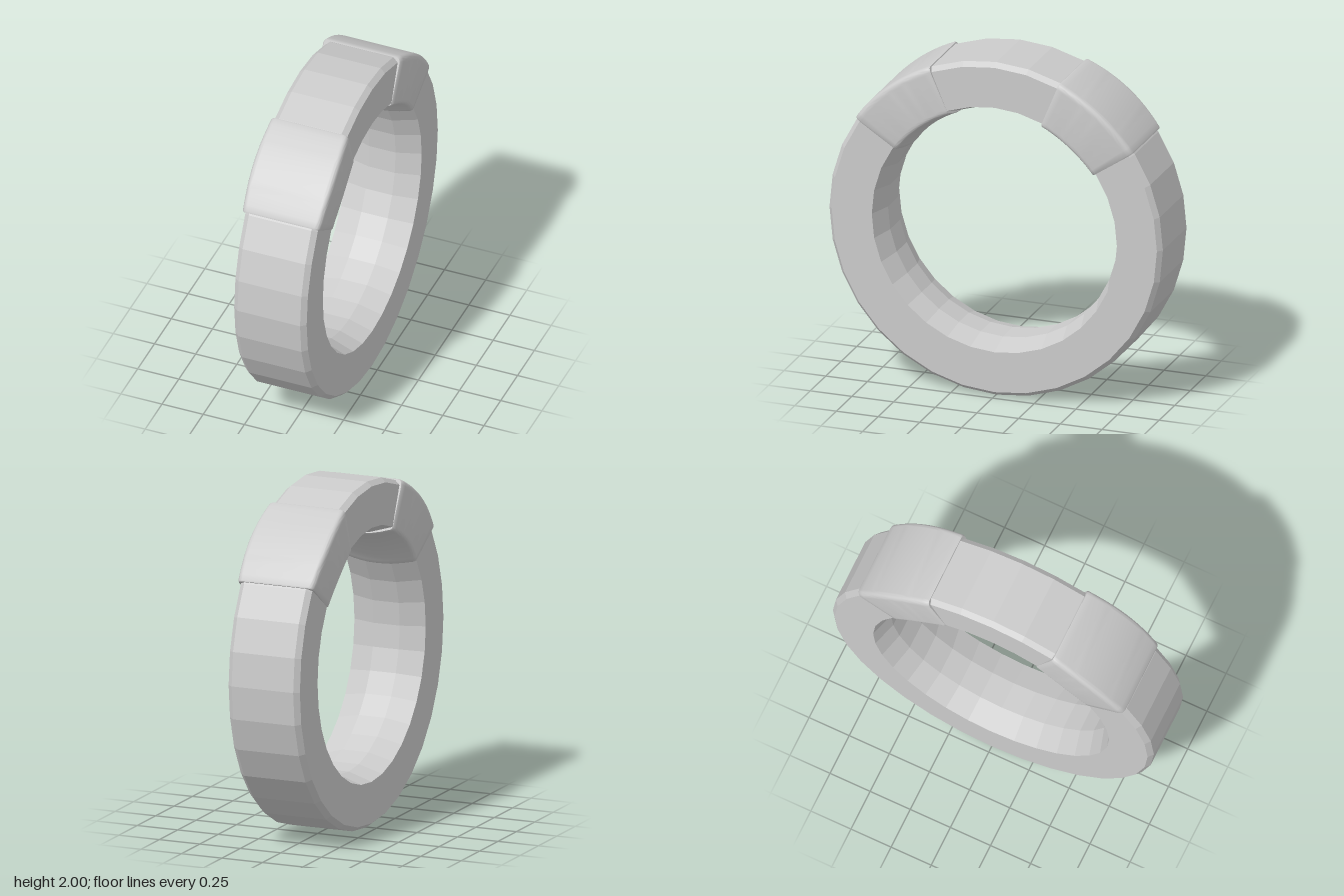
import * as THREE from 'three';
import { toCreasedNormals } from 'three/addons/utils/BufferGeometryUtils.js';

const rad = THREE.MathUtils.degToRad;

// Faceted band with chamfered rims and a gently bowed inside
function bandGeometry() {
  const profile = [
    [-0.22, 0.735], [-0.22, 0.975], [-0.19, 1], [0.19, 1], [0.22, 0.975],
    [0.22, 0.735], [0.08, 0.69], [-0.08, 0.69], [-0.22, 0.735],
  ].map(([x, r]) => new THREE.Vector2(r, x));
  return new THREE.LatheGeometry(profile, 32).rotateZ(Math.PI / 2);
}

// Rounded cross-section of a sleeve, x across and y as radius
function sleeveSection() {
  const s = new THREE.Shape();
  s.moveTo(-0.205, 0.712);
  s.quadraticCurveTo(0, 0.64, 0.205, 0.712);
  s.quadraticCurveTo(0.226, 0.715, 0.226, 0.745);
  s.lineTo(0.236, 0.97);
  s.quadraticCurveTo(0.236, 1.009, 0.205, 1.009);
  s.lineTo(-0.205, 1.009);
  s.quadraticCurveTo(-0.236, 1.009, -0.236, 0.97);
  s.lineTo(-0.226, 0.745);
  s.quadraticCurveTo(-0.226, 0.715, -0.205, 0.712);
  return s.getPoints(8);
}

// Section swept round the band, swelling mid-way, with soft lips and closed ends
function sleeveGeometry() {
  const section = sleeveSection();
  const n = section.length;
  const start = rad(22.8), end = rad(55.6), lip = rad(0.5), steps = 16, mid = 0.85;
  const stations = [[start, 0], [start, 0.98]];
  for (let i = 0; i <= steps; i++) {
    stations.push([start + lip + (end - start - 2 * lip) * i / steps, 1]);
  }
  stations.push([end, 0.98], [end, 0]);

  const positions = [], index = [];
  stations.forEach(([a, scale], j) => {
    const swell = 1 + 0.05 * Math.sin(Math.PI * (a - start) / (end - start));
    section.forEach((p, i) => {
      const r = mid + (p.y - mid) * scale;
      positions.push(p.x * scale * swell, r * Math.cos(a), r * Math.sin(a));
      if (i < n - 1 && j < stations.length - 1) {
        const k = j * n + i;
        if (scale > 0) index.push(k, k + 1, k + n + 1);
        if (stations[j + 1][1] > 0) index.push(k, k + n + 1, k + n);
      }
    });
  });
  const g = new THREE.BufferGeometry();
  g.setAttribute('position', new THREE.Float32BufferAttribute(positions, 3));
  g.setIndex(index);
  return toCreasedNormals(g, rad(40));
}

export function createModel() {
  const model = new THREE.Group();
  model.name = 'ring';

  const band = new THREE.Mesh(
    bandGeometry(),
    new THREE.MeshStandardMaterial({ color: 0xcccccc, flatShading: true }),
  );
  band.name = 'band';
  band.position.y = 1;
  model.add(band);

  // Matching sleeves front and back
  const geometry = sleeveGeometry();
  const material = new THREE.MeshStandardMaterial({ color: 0xcccccc });
  ['frontSleeve', 'backSleeve'].forEach((name, i) => {
    const sleeve = new THREE.Mesh(geometry, material);
    sleeve.name = name;
    sleeve.position.y = 1;
    sleeve.rotation.y = i * Math.PI;
    model.add(sleeve);
  });
  return model;
}
